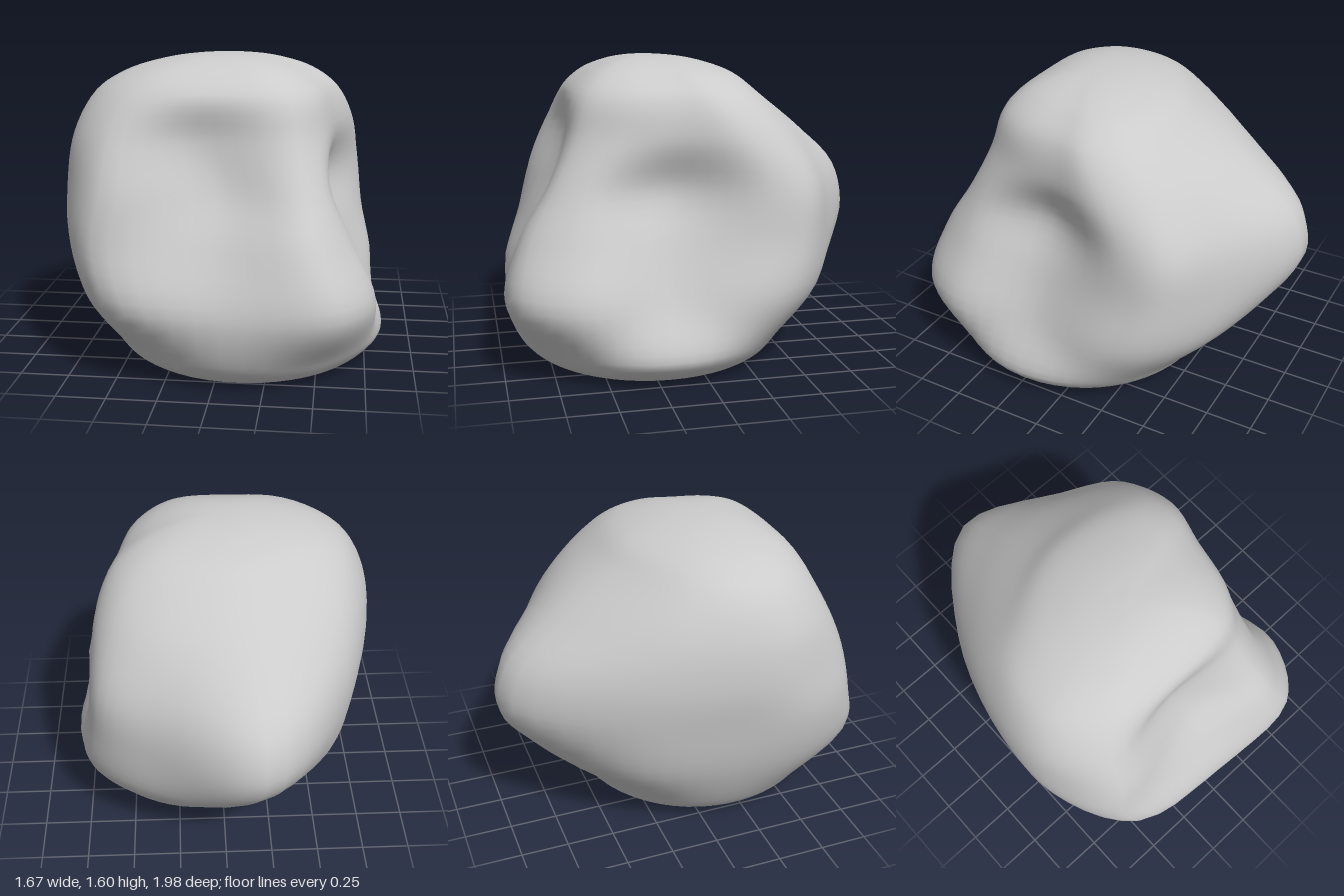
import * as THREE from 'three';
import { mergeVertices } from 'three/addons/utils/BufferGeometryUtils.js';

// Horizontal outlines of the boulder as [x, z], running right, front, left, back.
const SECTIONS = [
  { y: 0.4, p: [[0.73, 0.2], [0.79, 0.64], [0.58, 0.95], [0.05, 0.96], [-0.5, 0.88], [-0.72, 0.5], [-0.72, 0.05], [-0.56, -0.43], [-0.1, -0.79], [0.38, -0.7], [0.7, -0.47], [0.78, -0.22]] },
  { y: 0.7, p: [[0.61, 0.18], [0.66, 0.62], [0.47, 0.89], [0, 0.82], [-0.6, 0.81], [-0.8, 0.48], [-0.79, 0.1], [-0.62, -0.48], [-0.18, -0.99], [0.35, -0.76], [0.67, -0.54], [0.72, -0.28]] },
  { y: 0.95, p: [[0.51, 0.16], [0.55, 0.58], [0.4, 0.75], [0, 0.67], [-0.56, 0.77], [-0.8, 0.45], [-0.82, 0.12], [-0.63, -0.46], [-0.18, -0.94], [0.33, -0.73], [0.64, -0.54], [0.69, -0.28]] },
  { y: 1.2, p: [[0.58, 0.12], [0.5, 0.46], [0.35, 0.63], [-0.1, 0.6], [-0.53, 0.67], [-0.76, 0.42], [-0.78, 0.1], [-0.61, -0.32], [-0.15, -0.67], [0.3, -0.58], [0.57, -0.42], [0.66, -0.2]] },
  { y: 1.4, p: [[0.53, 0.12], [0.46, 0.4], [0.31, 0.57], [-0.08, 0.61], [-0.46, 0.56], [-0.66, 0.35], [-0.67, 0.08], [-0.53, -0.16], [-0.13, -0.39], [0.25, -0.38], [0.49, -0.26], [0.57, -0.08]] },
];
// Round foot and domed crown: [radius or scale, y]
const FOOT = [[0, 0], [0.3, 0], [0.54, 0], [0.65, 0.05], [0.73, 0.15]];
const CROWN = [[0.78, 1.5], [0.5, 1.56], [0.25, 1.587], [0, 1.595]];
const AROUND = 60;
const STEPS = 5;

// Smooth closed outline sampled at AROUND points
function outline({ y, p }) {
  const curve = new THREE.CatmullRomCurve3(p.map(([x, z]) => new THREE.Vector3(x, y, z)), true);
  return Array.from({ length: AROUND }, (_, i) => curve.getPoint(i / AROUND));
}

// Circle whose points sit below those of an outline
function circle(ring, radius, y) {
  const cx = 0.11;
  const cz = 0.19;
  return ring.map((v) => {
    const angle = Math.atan2(v.z - cz, v.x - cx);
    return new THREE.Vector3(cx + radius * Math.cos(angle), y, cz + radius * Math.sin(angle));
  });
}

// Copy of an outline shrunk towards the top of the crown
function shrink(ring, s, y) {
  const cz = 0.18;
  return ring.map((v) => new THREE.Vector3(v.x * s, y, cz + (v.z - cz) * s));
}

function boulderGeometry() {
  const body = SECTIONS.map(outline);
  const rings = [
    ...FOOT.map(([r, y]) => circle(body[0], r, y)),
    ...body,
    ...CROWN.map(([s, y]) => shrink(body[body.length - 1], s, y)),
  ];

  // Rails run from the underside to the crown through every outline
  const rows = (rings.length - 1) * STEPS;
  const positions = [];
  const index = [];
  for (let i = 0; i < AROUND; i++) {
    const rail = new THREE.CatmullRomCurve3(rings.map((r) => r[i]));
    for (let j = 0; j <= rows; j++) {
      const v = rail.getPoint(j / rows);
      positions.push(v.x, Math.max(0, v.y), v.z);
      if (j === rows) continue;
      const a = i * (rows + 1) + j;
      const b = ((i + 1) % AROUND) * (rows + 1) + j;
      index.push(a, a + 1, b, b, a + 1, b + 1);
    }
  }
  const geometry = new THREE.BufferGeometry();
  geometry.setAttribute('position', new THREE.Float32BufferAttribute(positions, 3));
  geometry.setIndex(index);
  const merged = mergeVertices(geometry, 1e-4);
  merged.computeVertexNormals();
  return merged;
}

export function createModel() {
  const group = new THREE.Group();
  group.name = 'rock';
  const boulder = new THREE.Mesh(boulderGeometry(), new THREE.MeshStandardMaterial({ color: 0xcccccc }));
  boulder.name = 'boulder';
  group.add(boulder);
  return group;
}
